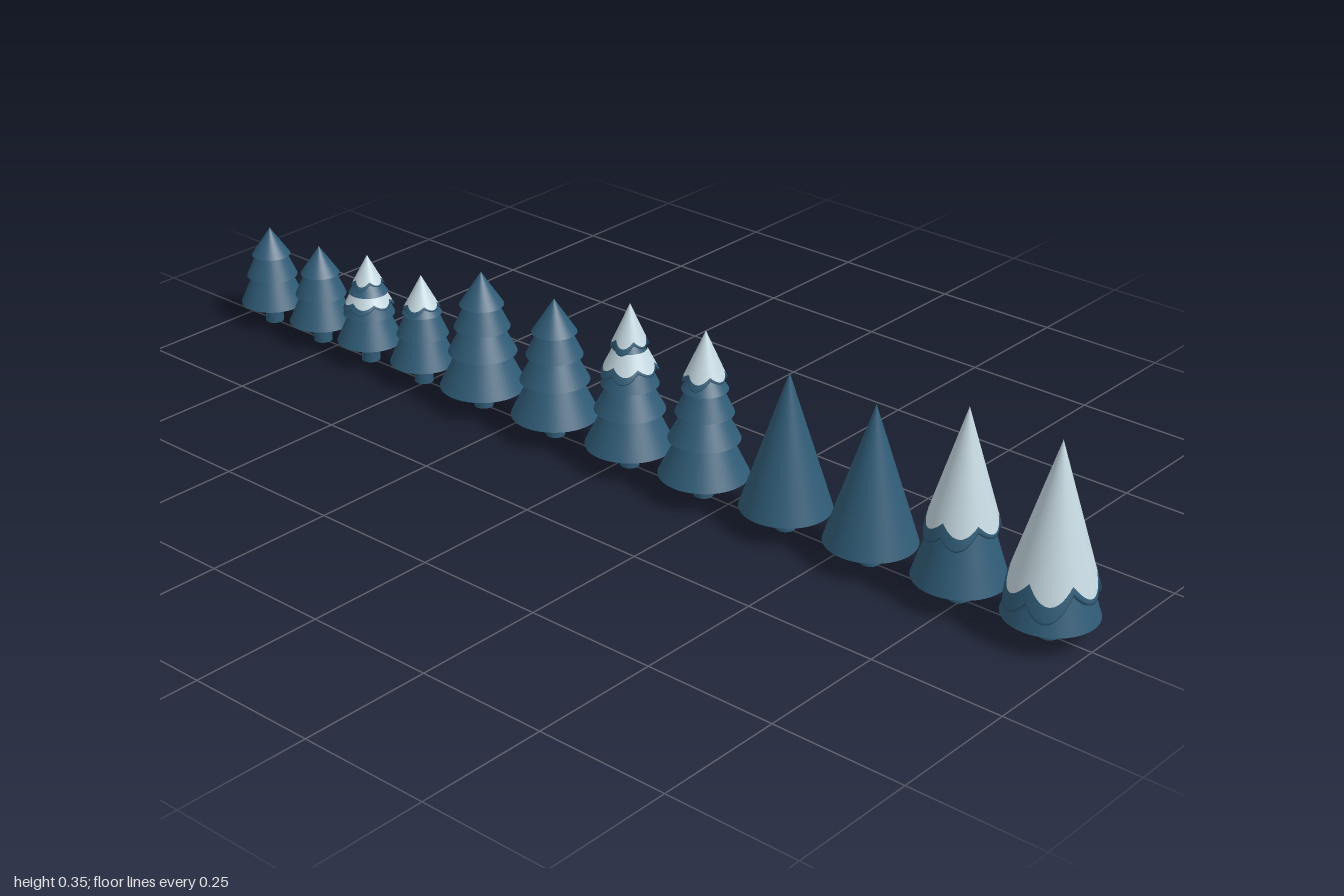
import * as THREE from 'three';

const SEG = 72;

export function createModel() {
  const pine = new THREE.MeshStandardMaterial({ color: 0x305c77 });
  pine.name = 'pineBlue';
  const white = new THREE.MeshStandardMaterial({ color: 0xc6d9e1 });
  white.name = 'snowWhite';

  const mesh = (name, geometry, material, y = 0) => {
    const m = new THREE.Mesh(geometry, material);
    m.name = name;
    m.position.y = y;
    return m;
  };

  // Closed rings of points, listed from top to bottom, joined into a skin
  const skin = (rows, point) => {
    const pos = [], idx = [];
    for (let i = 0; i < rows; i++) {
      for (let j = 0; j < SEG; j++) {
        const a = (j / SEG) * Math.PI * 2;
        const [r, y] = point(i, a);
        pos.push(Math.sin(a) * r, y, Math.cos(a) * r);
        if (i === rows - 1) continue;
        const k = (j + 1) % SEG, p = i * SEG, q = p + SEG;
        idx.push(p + j, q + j, q + k, p + j, q + k, p + k);
      }
    }
    const g = new THREE.BufferGeometry();
    g.setAttribute('position', new THREE.Float32BufferAttribute(pos, 3));
    g.setIndex(idx);
    g.computeVertexNormals();
    return g;
  };

  // Snow cover: white slope with a scalloped edge and a blue rolled rim
  const snow = ({ top, r = 0, slope, edge, amp, lip, lobes, thick }) => {
    const g = new THREE.Group();
    g.name = 'snowCover';
    const low = (a) => edge + amp * (1 - Math.abs(Math.cos(a * lobes / 2))) + amp * 0.45 * Math.cos(2 * a);
    const line = (a) => low(a) + lip * (0.5 + Math.sin(a) ** 2);
    const radius = (y) => r + (top - y) * slope;
    g.add(mesh('snow', skin(7, (i, a) => {
      const y = top + (line(a) - top) * i / 6;
      return [radius(y), y];
    }), white));
    g.add(mesh('snowRim', skin(5, (i, a) => {
      const e = low(a), l = line(a), R = radius(e);
      return [
        [radius(l), l],
        [radius(e + lip * 0.3), e + lip * 0.3],
        [R - thick * 0.15, e + lip * 0.08],
        [R - thick * 0.5, e],
        [R - thick * 1.5, e + thick * 0.3],
      ][i];
    }), pine));
    return g;
  };

  // Tiers are [bottom y, bottom radius, top y, top radius]
  const tree = (name, z, trunkRadius, tiers, covers = []) => {
    const g = new THREE.Group();
    g.name = name;
    g.position.z = z;
    g.add(mesh('trunk', new THREE.CylinderGeometry(trunkRadius, trunkRadius, 0.05, 24), pine, 0.025));
    tiers.forEach(([y0, r0, y1, r1], i) => g.add(mesh('foliageTier' + (i + 1),
      new THREE.CylinderGeometry(r1, r0, y1 - y0, 48, 1), pine, (y0 + y1) / 2)));
    covers.forEach((c) => g.add(snow(c)));
    return g;
  };

  const cone = [[0.042, 0.082, 0.297, 0]];
  const large = [
    [0.043, 0.082, 0.12, 0.045], [0.113, 0.065, 0.17, 0.035],
    [0.163, 0.053, 0.215, 0.028], [0.208, 0.042, 0.273, 0],
  ];
  const small = [
    [0.043, 0.064, 0.107, 0.036], [0.1, 0.05, 0.15, 0.028], [0.144, 0.038, 0.2, 0],
  ];

  // Snow covers
  const deep = { top: 0.352, slope: 0.3, edge: 0.071, amp: 0.03, lip: 0.024, lobes: 6, thick: 0.013 };
  const half = { ...deep, edge: 0.125, amp: 0.02, lip: 0.018 };
  const largeCap = { top: 0.318, slope: 0.44, edge: 0.222, amp: 0.012, lip: 0.009, lobes: 5, thick: 0.011 };
  const largeBand = { ...largeCap, top: 0.232, r: 0.031, slope: 0.5, edge: 0.184, lip: 0.011, lobes: 6 };
  const smallCap = { top: 0.22, slope: 0.53, edge: 0.15, amp: 0.009, lip: 0.007, lobes: 5, thick: 0.009 };
  const smallBand = { ...smallCap, top: 0.154, r: 0.029, slope: 0.52, edge: 0.113, lip: 0.009, lobes: 6 };

  const model = new THREE.Group();
  model.name = 'pineTreeRow';
  model.add(
    tree('coneTreeDeepSnow', 0.918, 0.018, cone, [deep]),
    tree('coneTreeHalfSnow', 0.741, 0.018, cone, [half]),
    tree('coneTreeA', 0.559, 0.018, cone),
    tree('coneTreeB', 0.377, 0.018, cone),
    tree('largeTreeCapped', 0.193, 0.018, large, [largeCap]),
    tree('largeTreeSnowy', 0.019, 0.018, large, [{ ...largeCap, edge: 0.234 }, largeBand]),
    tree('largeTreeA', -0.164, 0.018, large),
    tree('largeTreeB', -0.348, 0.018, large),
    tree('smallTreeCapped', -0.508, 0.018, small, [smallCap]),
    tree('smallTreeSnowy', -0.655, 0.018, small, [{ ...smallCap, edge: 0.157 }, smallBand]),
    tree('smallTreeA', -0.792, 0.018, small),
    tree('smallTreeB', -0.935, 0.018, small),
  );
  return model;
}
